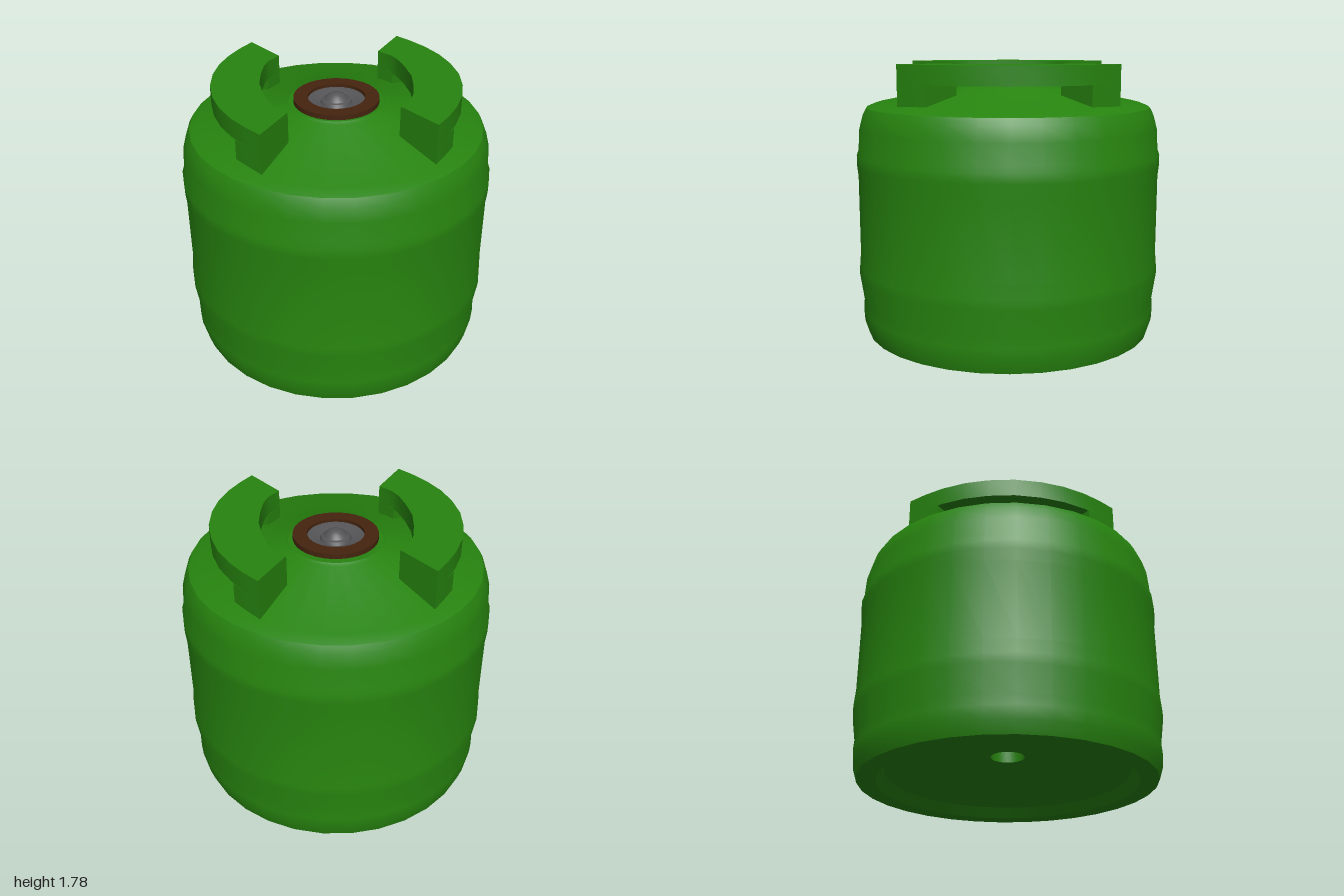
import * as THREE from 'three';
import { toCreasedNormals } from 'three/addons/utils/BufferGeometryUtils.js';

const material = (name, color) => {
  const m = new THREE.MeshStandardMaterial({ color });
  m.name = name;
  return m;
};
const v2 = ([x, y]) => new THREE.Vector2(x, y);

export function createModel() {
  const green = material('green paint', 0x27840f);
  const brown = material('brown seal', 0x45240f);
  const grey = material('grey metal', 0x555558);
  const model = new THREE.Group();
  model.name = 'gasCylinder';

  const add = (name, geometry, mat, parent = model) => {
    const mesh = new THREE.Mesh(toCreasedNormals(geometry, 0.5), mat);
    mesh.name = name;
    parent.add(mesh);
    return mesh;
  };
  const lathe = (points) => new THREE.LatheGeometry(points.map(v2), 32);

  // Tank: hollow underside, bulged wall, conical shoulder and recessed neck
  add('tank', lathe([
    [0, 0.5], [0.11, 0.5], [0.11, 0.185], [0.28, 0.25], [0.78, 0.065], [0.83, 0],
    [0.95, 0], [0.975, 0.08], [0.98, 0.16], [0.975, 0.23], [1, 0.4], [0.998, 0.46],
    [0.99, 0.55], [0.99, 1.05], [0.998, 1.13], [0.998, 1.19], [0.985, 1.23],
    [0.977, 1.36], [0.953, 1.45], [0.93, 1.495], [0.87, 1.52], [0.32, 1.63],
    [0.3, 1.643], [0.2, 1.643], [0.18, 1.61], [0, 1.61],
  ]), green);

  // Seal ring and valve, set slightly toward the front
  const valve = new THREE.Group();
  valve.name = 'valve';
  valve.position.z = 0.015;
  model.add(valve);
  add('sealRing', lathe([
    [0.18, 1.63], [0.27, 1.643], [0.27, 1.675], [0.18, 1.675], [0.18, 1.63],
  ]), brown, valve);
  add('valveCore', lathe([
    [0.182, 1.655], [0.165, 1.655], [0.1, 1.635], [0.09, 1.655], [0.075, 1.66],
    [0.055, 1.682], [0.03, 1.697], [0, 1.7],
  ].map(([r, y]) => [r, y])), grey, valve);

  // Handle outlines in plan, given as x and z
  const outer = [[0.5, 0.675], [0.58, 0.575], [0.655, 0.46], [0.72, 0.32], [0.76, 0.17], [0.777, 0]];
  const inner = [[0.475, 0], [0.46, 0.14], [0.435, 0.26], [0.405, 0.335], [0.33, 0.42]];
  const flip = (pts) => pts.map(([x, z]) => [x, -z]).reverse();
  const gripOutline = [
    ...outer, ...flip(outer).slice(1),
    ...flip(inner), ...inner.slice(1),
  ];
  const footOutline = [[0.5, 0.675], [0.58, 0.575], [0.64, 0.49], [0.413, 0.32], [0.33, 0.42]];

  const prism = (outline, bottom, top, sx, sz) => {
    const shape = new THREE.Shape(outline.map(([x, z]) => new THREE.Vector2(x * sx, -z * sz)));
    const g = new THREE.ExtrudeGeometry(shape, { depth: top - bottom, bevelEnabled: false });
    return g.rotateX(-Math.PI / 2).translate(0, bottom, 0);
  };

  // Two curved grips, each on two feet
  for (const side of [1, -1]) {
    const handle = new THREE.Group();
    handle.name = side > 0 ? 'leftHandle' : 'rightHandle';
    model.add(handle);
    add('grip', prism(gripOutline, 1.66, 1.78, side, 1), green, handle);
    for (const end of [1, -1]) {
      add(end > 0 ? 'frontFoot' : 'backFoot', prism(footOutline, 1.51, 1.66, side, end), green, handle);
    }
  }
  return model;
}
